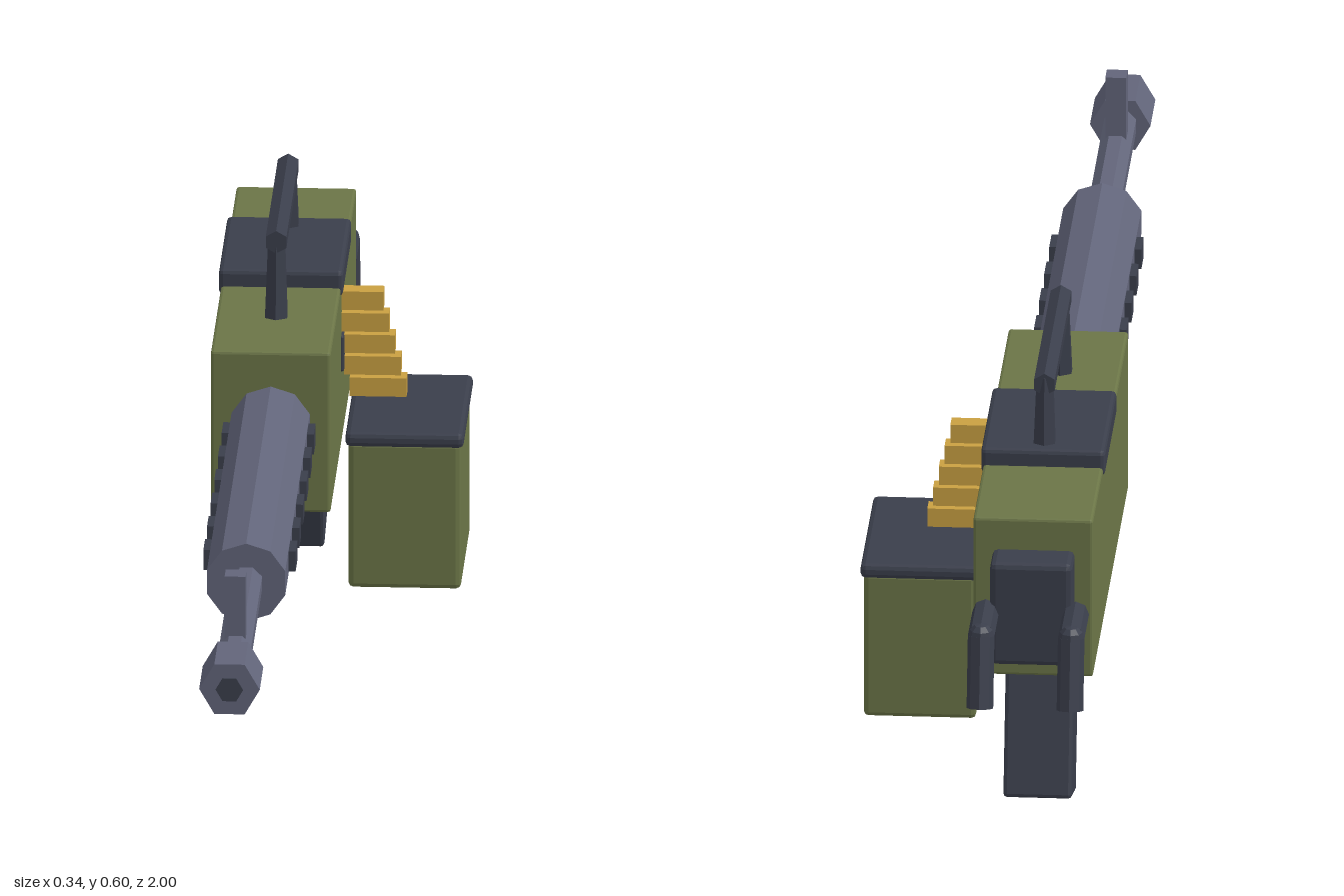
import * as THREE from 'three';
import { RoundedBoxGeometry } from 'three/addons/geometries/RoundedBoxGeometry.js';

const AXIS_X = -0.087, AXIS_Y = 0.364;

export function createModel() {
  const model = new THREE.Group();
  const mat = (name, color) => Object.assign(new THREE.MeshStandardMaterial({ color }), { name });
  const green = mat('olive green', 0x6b7547);
  const steel = mat('steel grey', 0x62657a);
  const dark = mat('dark gunmetal', 0x3a3e4b);
  const brass = mat('brass', 0xc9a042);

  const add = (name, geometry, material, parent = model) => {
    const g = geometry.index ? geometry.toNonIndexed() : geometry;
    g.computeVertexNormals(); // faceted look
    const mesh = new THREE.Mesh(g, material);
    mesh.name = name;
    parent.add(mesh);
    return mesh;
  };
  const group = (name) => {
    const g = new THREE.Group();
    g.name = name;
    model.add(g);
    return g;
  };
  // Box from its limits, with an optional chamfer
  const box = (name, [x0, x1], [y0, y1], [z0, z1], material, bevel = 0, parent = model) => {
    const size = [x1 - x0, y1 - y0, z1 - z0];
    const g = bevel ? new RoundedBoxGeometry(...size, 1, bevel) : new THREE.BoxGeometry(...size);
    const mesh = add(name, g, material, parent);
    mesh.position.set((x0 + x1) / 2, (y0 + y1) / 2, (z0 + z1) / 2);
    return mesh;
  };
  // Prism along the barrel axis
  const prism = (name, r, z0, z1, sides, material, turn = 0) => {
    const g = new THREE.CylinderGeometry(r, r, z1 - z0, sides).rotateY(turn).rotateX(Math.PI / 2);
    add(name, g, material).position.set(AXIS_X, AXIS_Y, (z0 + z1) / 2);
  };
  // Rod between two points, thinner or thicker at the end if wanted
  const rod = (name, a, b, r0, r1, sides, material, parent) => {
    const p = new THREE.Vector3(...a), q = new THREE.Vector3(...b);
    const d = q.clone().sub(p);
    const mesh = add(name, new THREE.CylinderGeometry(r1, r0, d.length(), sides), material, parent);
    mesh.position.copy(p).add(q).multiplyScalar(0.5);
    mesh.quaternion.setFromUnitVectors(new THREE.Vector3(0, 1, 0), d.normalize());
  };

  // Receiver and its covers
  box('receiver', [-0.17, -0.004], [0.237, 0.471], [-0.82, -0.12], green, 0.004);
  box('topCover', [-0.173, -0.001], [0.458, 0.495], [-0.626, -0.395], dark, 0.006);
  box('feedPort', [-0.03, 0], [0.343, 0.396], [-0.607, -0.41], dark, 0.003);

  // Barrel assembly
  prism('barrelShroud', 0.057, -0.13, 0.545, 10, steel);
  prism('barrel', 0.024, 0.5, 0.91, 8, steel, Math.PI / 8);
  prism('muzzle', 0.042, 0.9, 0.997, 6, steel, Math.PI / 6);
  prism('bore', 0.019, 0.97, 1.0, 6, dark, Math.PI / 6);
  box('frontSight', [-0.102, -0.073], [0.375, 0.473], [0.805, 0.835], steel);
  const slots = group('coolingSlots');
  for (let i = 0; i < 6; i++) {
    const z = -0.064 + i * 0.099;
    for (const s of [-1, 1]) {
      const x = AXIS_X + s * 0.054;
      box('coolingSlot', [x - 0.01, x + 0.01], [0.35, 0.379], [z - 0.023, z + 0.023], dark, 0, slots);
    }
  }

  // Carrying handle
  const carry = group('carryHandle');
  rod('handleBar', [AXIS_X, 0.581, -0.268], [AXIS_X, 0.581, -0.596], 0.0165, 0.0165, 6, dark, carry);
  rod('handleLeg', [AXIS_X, 0.465, -0.273], [AXIS_X, 0.59, -0.283], 0.018, 0.013, 6, dark, carry);
  rod('handleLeg', [AXIS_X, 0.47, -0.594], [AXIS_X, 0.59, -0.584], 0.018, 0.013, 6, dark, carry);

  // Rear plate with two bent spade handles
  box('rearPlate', [-0.145, -0.031], [0.274, 0.426], [-0.878, -0.815], dark, 0.008);
  const spades = group('spadeHandles');
  for (const s of [-1, 1]) {
    const x = AXIS_X + s * 0.0625;
    const elbow = [x, 0.35, -0.956];
    rod('handleArm', [x, 0.35, -0.866], elbow, 0.0185, 0.0185, 8, dark, spades);
    rod('handleGrip', elbow, [x, 0.252, -0.981], 0.0185, 0.0185, 8, dark, spades);
    add('handleElbow', new THREE.SphereGeometry(0.0185, 8, 6), dark, spades).position.set(...elbow);
  }

  // Pistol grip and trigger
  const grip = add('pistolGrip', new RoundedBoxGeometry(0.095, 0.26, 0.09, 1, 0.005), dark);
  grip.position.set(-0.0875, 0.137, -0.666);
  grip.rotation.x = 0.26;
  const trigger = add('trigger', new THREE.BoxGeometry(0.015, 0.075, 0.02), steel);
  trigger.position.set(AXIS_X, 0.203, -0.543);
  trigger.rotation.x = -0.3;

  // Ammunition box
  box('ammoBox', [0.011, 0.167], [0.062, 0.276], [-0.557, -0.308], green, 0.007);
  box('ammoLid', [0.007, 0.171], [0.27, 0.291], [-0.563, -0.302], dark, 0.007);

  // Belt of cartridges stepping down from the feed port
  const belt = group('ammoBelt');
  for (let i = 0; i < 5; i++) {
    const x = 0.054 + i * 0.008, y = 0.444 - i * 0.0315;
    box('cartridge', [x - 0.079, x], [y - 0.0135, y + 0.0135], [-0.448, -0.421], brass, 0, belt);
  }

  return model;
}
